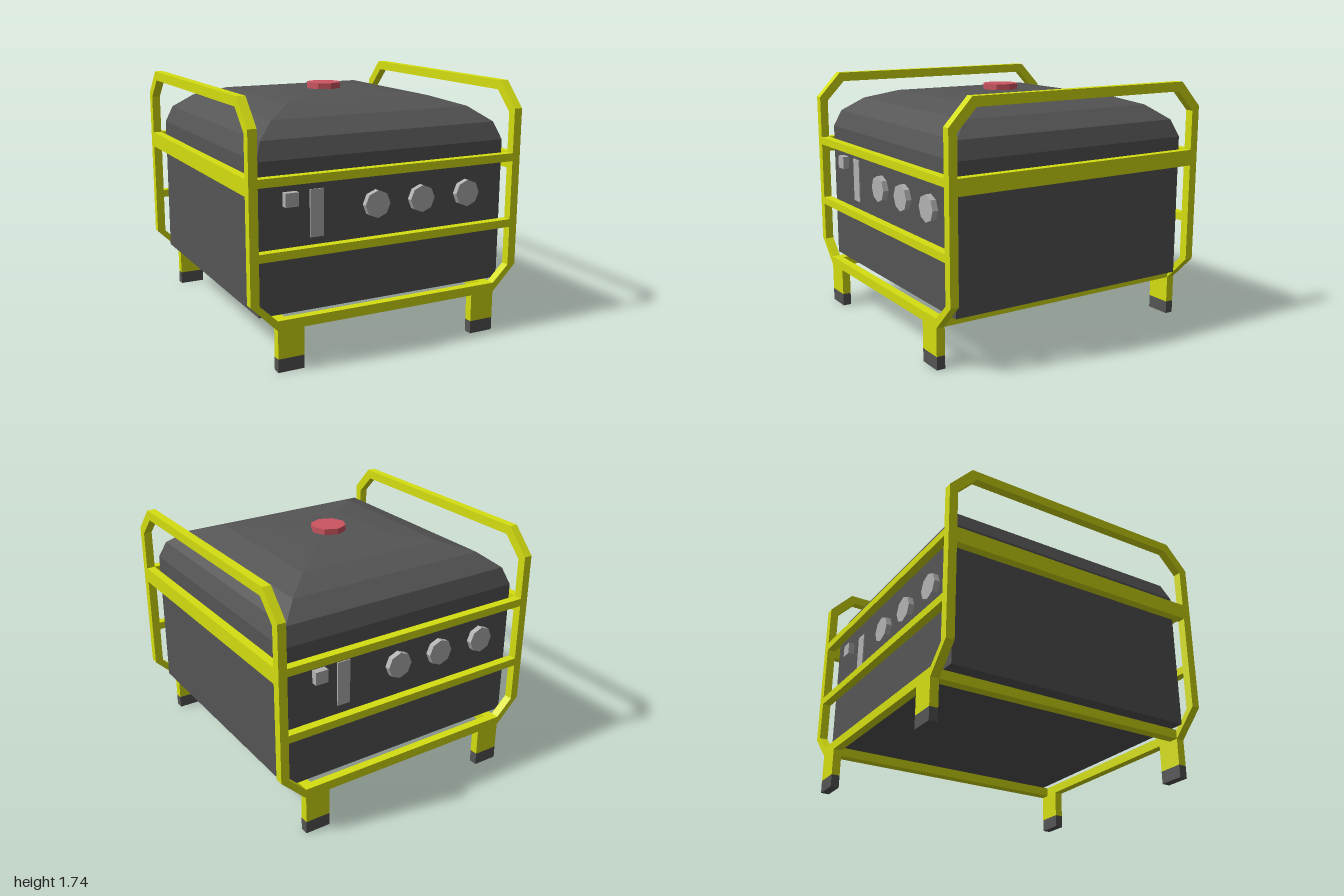
import * as THREE from 'three';

const material = (color) => new THREE.MeshStandardMaterial({ color, flatShading: true });

export function createModel() {
  const yellow = material(0xd4de10), dark = material(0x555555);
  const grey = material(0xb2b2b2), red = material(0xcc5560);
  const model = new THREE.Group();
  model.name = 'generator';

  const add = (parent, name, geometry, mat) => {
    const mesh = new THREE.Mesh(geometry, mat);
    mesh.name = name;
    parent.add(mesh);
    return mesh;
  };
  // Box given by its limits on each axis
  const box = (parent, name, mat, [x0, x1], [y0, y1], [z0, z1]) =>
    add(parent, name, new THREE.BoxGeometry(x1 - x0, y1 - y0, z1 - z0), mat)
      .position.set((x0 + x1) / 2, (y0 + y1) / 2, (z0 + z1) / 2);
  // Half outline mirrored into a closed U, extruded to the bar thickness
  const bar = (outer, inner) => {
    const mirror = (pts) => pts.map(([a, b]) => [-a, b]).reverse();
    const pts = [...outer, ...mirror(outer), ...mirror(inner.slice().reverse()), ...inner.slice().reverse()];
    const shape = new THREE.Shape(pts.map(([a, b]) => new THREE.Vector2(a, b)));
    return new THREE.ExtrudeGeometry(shape, { depth: 0.06, bevelEnabled: false }).translate(0, 0, -0.03);
  };

  // Square body with stepped, domed tank: a four-sided lathe
  const profile = [[0, 0.35], [0.91, 0.35], [0.91, 1.34], [0.865, 1.46], [0.735, 1.56],
    [0.54, 1.623], [0.3, 1.646], [0, 1.65]];
  const body = new THREE.LatheGeometry(
    profile.map(([r, y]) => new THREE.Vector2(r * Math.SQRT2, y)), 4, Math.PI / 4);
  add(model, 'bodyAndTank', body, dark);

  // Fuel cap
  add(model, 'fuelCap', new THREE.CylinderGeometry(0.124, 0.124, 0.06, 8), red)
    .position.set(0, 1.66, -0.005);

  const frame = new THREE.Group();
  frame.name = 'frame';
  model.add(frame);

  // Side hoops: two posts joined by a handle
  const hoop = bar([[1, 0.46], [1, 1.56], [0.835, 1.735]], [[0.94, 0.46], [0.94, 1.53], [0.805, 1.67]])
    .rotateY(-Math.PI / 2);
  // Lower rails with angled ends
  const lowerRail = bar([[1, 0.46], [0.82, 0.28]], [[0.94, 0.46], [0.82, 0.345]]);
  // bar() winds either way; ExtrudeGeometry corrects the direction

  for (const s of [1, -1]) {
    const span = (a, b) => (s > 0 ? [a, b] : [-b, -a]);
    add(frame, 'sideHoop', hoop, yellow).position.x = 0.97 * s;
    add(frame, 'lowerRail', lowerRail, yellow).position.z = 0.97 * s;
    box(frame, 'sideRail', yellow, span(0.94, 1), [1.145, 1.255], [-0.94, 0.94]);
    box(frame, 'baseRail', yellow, span(0.75, 0.82), [0.28, 0.345], [-0.94, 0.94]);
    box(frame, 'upperRail', yellow, [-0.94, 0.94], [1.2, 1.255], span(0.94, 1));
    box(frame, 'middleRail', yellow, [-0.94, 0.94], [0.735, 0.79], span(0.94, 1));
    for (const x of [-0.73, 0.73]) {
      box(frame, 'leg', yellow, [x - 0.09, x + 0.09], [0.09, 0.3], span(0.94, 1));
      box(frame, 'rubberFoot', dark, [x - 0.09, x + 0.09], [0, 0.09], span(0.94, 1));
    }
  }

  // Control panels on the front and, turned half round, on the back
  for (const [name, angle, shift] of [['frontPanel', 0, 0], ['backPanel', Math.PI, 0.03]]) {
    const panel = new THREE.Group();
    panel.name = name;
    panel.rotation.y = angle;
    model.add(panel);
    box(panel, 'switch', grey, [-0.74 + shift, -0.65 + shift], [1.05, 1.14], [0.9, 0.955]);
    box(panel, 'strip', grey, [-0.555 + shift, -0.46 + shift], [0.83, 1.14], [0.9, 0.918]);
    for (const x of [-0.085, 0.255, 0.612]) {
      const socket = new THREE.CylinderGeometry(0.092, 0.092, 0.055, 8).rotateX(Math.PI / 2);
      add(panel, 'socket', socket, grey).position.set(x + shift, 1, 0.9225);
    }
  }
  return model;
}
